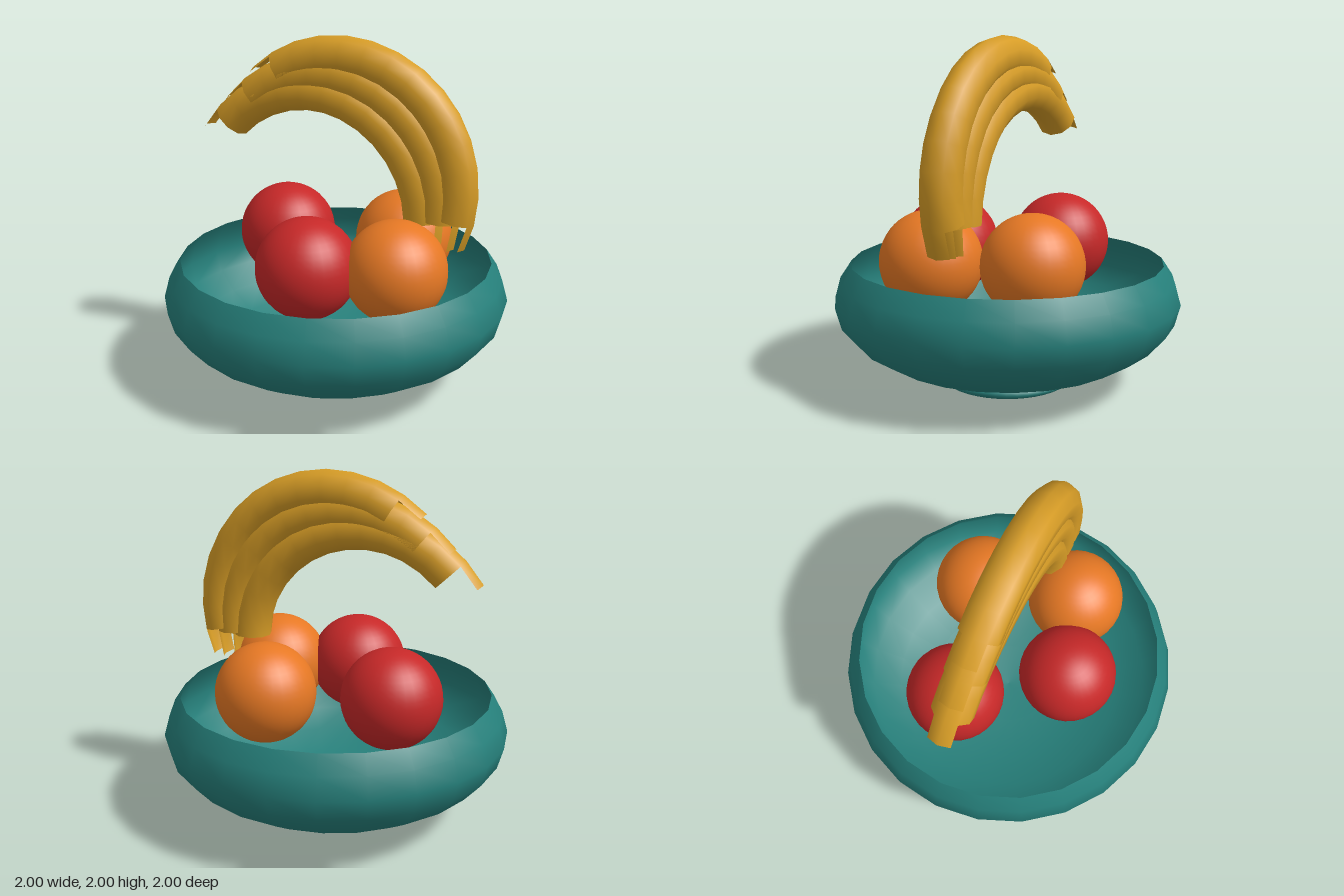
import * as THREE from 'three';

const material = (name, color, side = THREE.FrontSide) => {
  const m = new THREE.MeshStandardMaterial({ color, side });
  m.name = name;
  return m;
};

// Curved tube whose first and last segments keep only the outer strip as a stem
function bananaGeometry(radius, tube, arc) {
  const sides = 10, segments = 14;
  const geometry = new THREE.TorusGeometry(radius, tube, sides, segments, arc);
  const source = geometry.index.array;
  const kept = [];
  for (let j = 0; j < sides; j++) {
    for (let i = 0; i < segments; i++) {
      const atEnd = i === 0 || i === segments - 1;
      const outer = j === 0 || j === sides - 1;
      if (atEnd && !outer) continue;
      const start = (j * segments + i) * 6;
      kept.push(...source.slice(start, start + 6));
    }
  }
  geometry.setIndex(kept);
  return geometry;
}

export function createModel() {
  const model = new THREE.Group();
  model.name = 'fruitBowl';

  const teal = material('teal glaze', 0x26807b, THREE.DoubleSide);
  const red = material('apple red', 0xc62828);
  const orange = material('orange peel', 0xe67824);
  const yellow = material('banana yellow', 0xd69c26, THREE.DoubleSide);

  const add = (name, geometry, mat, x = 0, y = 0, z = 0) => {
    const mesh = new THREE.Mesh(geometry, mat);
    mesh.name = name;
    mesh.position.set(x, y, z);
    model.add(mesh);
    return mesh;
  };

  // Bowl: squashed round shell, open at the top
  const profile = [-90, -75, -60, -45, -30, -15, 0, 15, 27.5].map((deg) => {
    const a = THREE.MathUtils.degToRad(deg);
    return new THREE.Vector2(Math.max(0, Math.cos(a)), 0.5 + 0.47 * Math.sin(a));
  });
  profile[profile.length - 1].set(0.9, 0.72);
  add('bowl', new THREE.LatheGeometry(profile, 24), teal);

  // Foot: low disc with a rounded edge
  const foot = [[0, 0], [0.34, 0], [0.36, 0.002], [0.378, 0.012], [0.385, 0.025], [0.385, 0.045], [0.36, 0.055]]
    .map(([x, y]) => new THREE.Vector2(x, y));
  add('foot', new THREE.LatheGeometry(foot, 40), teal);

  // Round fruit
  const ball = new THREE.SphereGeometry(0.286, 32, 24);
  const fruitY = 0.777;
  add('appleBack', ball, red, -0.39, fruitY, -0.16);
  add('appleFront', ball, red, 0, fruitY, 0.385);
  add('orangeBack', ball, orange, 0.305, fruitY, -0.315);
  add('orangeFront', ball, orange, 0.46, fruitY, 0.23);

  // Bananas: the same curve, each shifted and turned a little further
  const arc = THREE.MathUtils.degToRad(156);
  const banana = bananaGeometry(0.695, 0.115, arc);
  for (let i = 0; i < 3; i++) {
    const mesh = add('banana' + (i + 1), banana, yellow, 0.03 - 0.096 * i, 1.19 - 0.102 * i, 0);
    mesh.rotation.z = THREE.MathUtils.degToRad(-23.5 + 7.3 * i);
  }

  return model;
}
